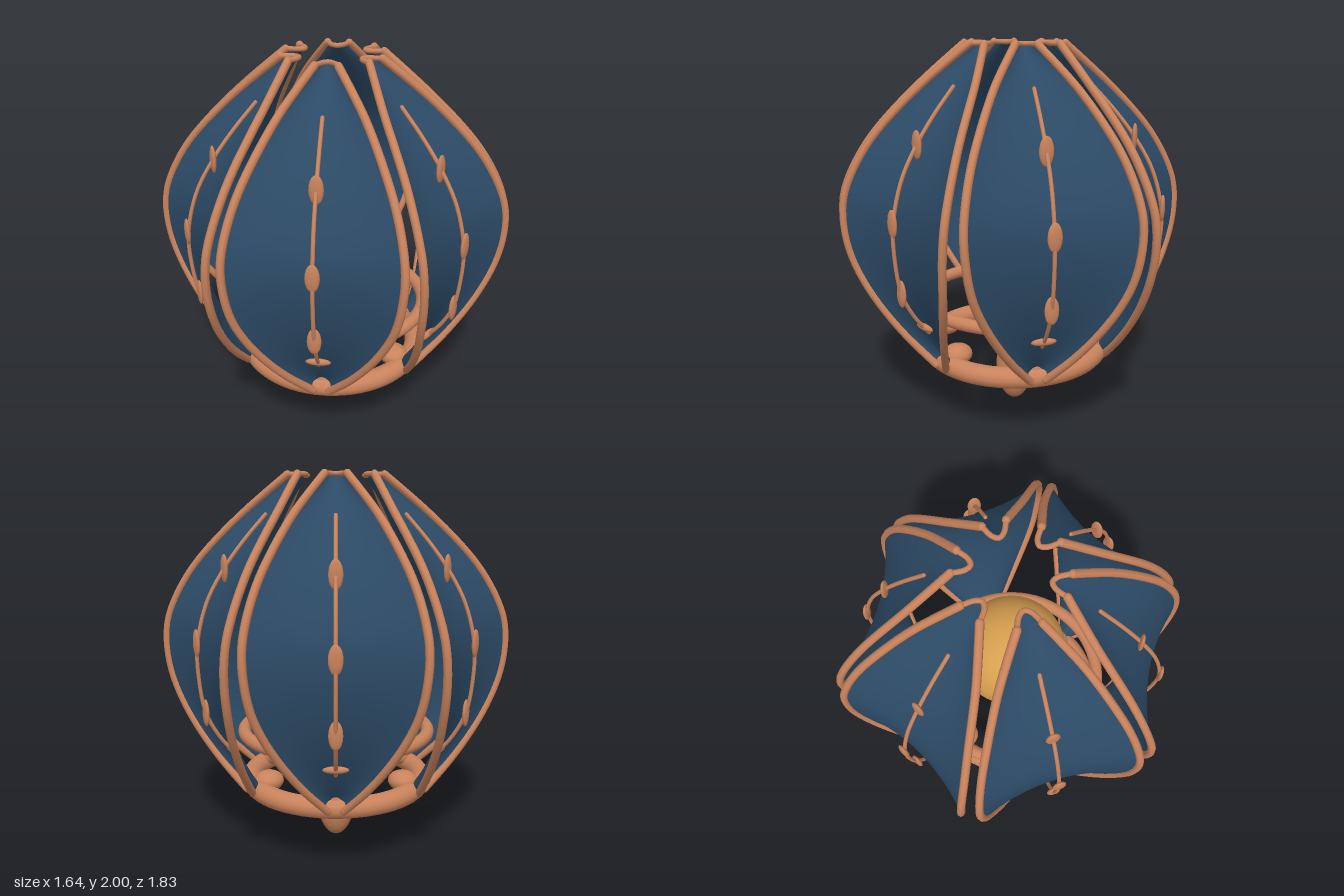
import * as THREE from 'three';

const copper = new THREE.MeshStandardMaterial({ color: 0xc9835c });
copper.name = 'copper';
const navy = new THREE.MeshStandardMaterial({ color: 0x2c4a66, side: THREE.DoubleSide });
navy.name = 'navy';
const gold = new THREE.MeshStandardMaterial({ color: 0xd79f4f });
gold.name = 'gold';

// Petal edge: radial distance, height, half width
const edge = new THREE.CatmullRomCurve3([
  [0.52, 0.36, 0.04], [0.61, 0.5, 0.15], [0.71, 0.7, 0.275], [0.775, 0.9, 0.365],
  [0.8, 1.08, 0.4], [0.785, 1.25, 0.403], [0.7, 1.45, 0.36], [0.6, 1.6, 0.3],
  [0.425, 1.8, 0.19], [0.25, 1.98, 0.055],
].map((p) => new THREE.Vector3(...p)));
const SAG = 0.075;

function add(parent, name, geometry, material) {
  const mesh = new THREE.Mesh(geometry, material);
  mesh.name = name;
  parent.add(mesh);
  return mesh;
}

function ellipsoid(parent, name, material, position, scale, segments = 24) {
  const mesh = add(parent, name, new THREE.SphereGeometry(1, segments, Math.round(segments * 0.7)), material);
  mesh.position.set(...position);
  mesh.scale.set(...scale);
  return mesh;
}

// Tube with rounded ends
function rod(parent, name, curve, radius, segments) {
  add(parent, name, new THREE.TubeGeometry(curve, segments, radius, 8), copper);
  for (const t of [0, 1]) {
    ellipsoid(parent, name + 'End', copper, curve.getPoint(t).toArray(), [radius, radius, radius], 8);
  }
}

// Point on the petal: u across (-1 to 1), t upward (0 to 1)
function petalPoint(u, t) {
  const p = edge.getPoint(t);
  return new THREE.Vector3(p.x - SAG * (1 - u * u), p.y, -u * p.z);
}

function createPetal() {
  const petal = new THREE.Group();

  // Concave sheet
  const sheet = new THREE.PlaneGeometry(2, 1, 16, 44);
  const pos = sheet.attributes.position;
  for (let i = 0; i < pos.count; i++) {
    const p = petalPoint(pos.getX(i), pos.getY(i) + 0.5);
    pos.setXYZ(i, p.x, p.y, p.z);
  }
  sheet.computeVertexNormals();
  add(petal, 'petalSheet', sheet, navy);

  // Side frames
  for (const side of [-1, 1]) {
    const points = [];
    for (let i = 0; i <= 18; i++) points.push(petalPoint(side, i / 18));
    rod(petal, 'petalFrame', new THREE.CatmullRomCurve3(points), 0.02, 48);
  }

  // Trim over the top lip
  const lip = [-1, -0.5, 0, 0.5, 1].map((u) => petalPoint(u, 1));
  add(petal, 'petalLip', new THREE.TubeGeometry(new THREE.CatmullRomCurve3(lip), 16, 0.013, 8), copper);

  // Standing rib with beads
  const rib = new THREE.CatmullRomCurve3([
    [0.59, 0.575], [0.68, 0.69], [0.745, 0.82], [0.775, 1.0], [0.775, 1.17],
    [0.72, 1.37], [0.625, 1.53], [0.52, 1.66], [0.4, 1.785],
  ].map(([r, y]) => new THREE.Vector3(r, y, 0)));
  rod(petal, 'rib', rib, 0.01, 36);
  for (const [r, y] of [[0.745, 0.82], [0.78, 1.175], [0.625, 1.53]]) {
    ellipsoid(petal, 'ribBead', copper, [r, y, 0], [0.014, 0.07, 0.035], 14);
  }
  ellipsoid(petal, 'ribFoot', copper, [0.615, 0.61, 0], [0.016, 0.019, 0.065], 12);

  // Pod at the base of the petal
  ellipsoid(petal, 'basePod', copper, [0.41, 0.4, 0], [0.08, 0.055, 0.075]);
  return petal;
}

function ring(parent, name, radius, tube, y) {
  const mesh = add(parent, name, new THREE.TorusGeometry(radius, tube, 14, 64), copper);
  mesh.rotation.x = Math.PI / 2;
  mesh.position.y = y;
}

export function createModel() {
  const model = new THREE.Group();
  model.name = 'petalLantern';

  // Six petals around the axis
  for (let i = 0; i < 6; i++) {
    const petal = createPetal();
    petal.name = 'petal' + (i + 1);
    petal.rotation.y = (i * Math.PI) / 3;
    model.add(petal);
  }

  // Rings, glowing core and hanging finial
  ring(model, 'baseRing', 0.468, 0.054, 0.356);
  ring(model, 'upperRing', 0.5, 0.034, 0.63);
  ellipsoid(model, 'core', gold, [0, 1.06, 0], [0.29, 0.29, 0.29], 40);
  ellipsoid(model, 'finial', copper, [0, 0.205, 0], [0.103, 0.2, 0.103]);
  return model;
}
